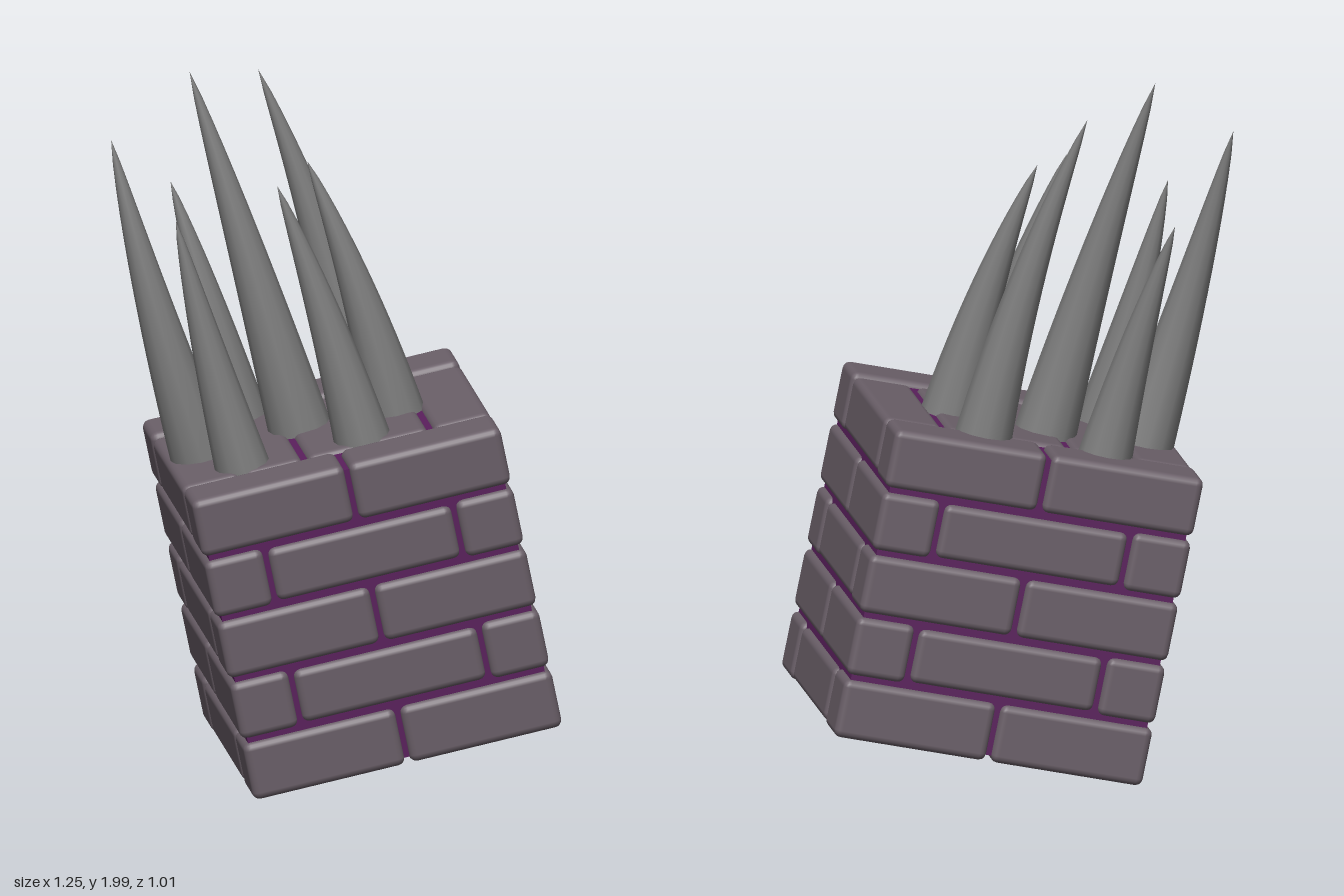
import * as THREE from 'three';
import { RoundedBoxGeometry } from 'three/addons/geometries/RoundedBoxGeometry.js';

const brickMat = new THREE.MeshStandardMaterial({ color: 0x6a5f68 });
const mortarMat = new THREE.MeshStandardMaterial({ color: 0x5a1f5c });
const spikeMat = new THREE.MeshStandardMaterial({ color: 0x808080 });

const SIZE = 0.92;        // edge of the whole block
const UNIT = SIZE / 5;    // brick height and width
const GAP = 0.014;        // joint between bricks

function addBrick(parent, name, w, d, x, z, inset = 0) {
  const geo = new RoundedBoxGeometry(w - GAP, UNIT - GAP - inset, d - GAP, 2, 0.022);
  const brick = new THREE.Mesh(geo, brickMat);
  brick.name = name;
  brick.position.set(x, 0, z);
  parent.add(brick);
}

// One course: two bricks along the front and back, five crosswise between them
function makeCourse() {
  const course = new THREE.Group();
  const edge = (SIZE - UNIT) / 2;
  for (const sz of [-1, 1]) {
    for (const sx of [-1, 1]) {
      addBrick(course, 'outerBrick', SIZE / 2, UNIT, sx * SIZE / 4, sz * edge);
    }
  }
  for (let i = 0; i < 5; i++) {
    addBrick(course, 'innerBrick', UNIT, SIZE - 2 * UNIT, (i - 2) * UNIT, 0, 0.012);
  }
  return course;
}

// Tapered, curved spike swept from base to tip
function makeSpike(base, tip, radius, bulge) {
  const b = new THREE.Vector3(...base), t = new THREE.Vector3(...tip);
  const mid = b.clone().lerp(t, 0.5).add(new THREE.Vector3(...bulge));
  const root = b.clone().add(b.clone().sub(mid).multiplyScalar(0.12));
  const curve = new THREE.QuadraticBezierCurve3(root, mid, t);
  const rings = 14, sides = 12;
  const geo = new THREE.TubeGeometry(curve, rings, radius, sides);
  const pos = geo.attributes.position, p = new THREE.Vector3();
  for (let i = 0; i <= rings; i++) {
    const c = curve.getPointAt(i / rings);
    const scale = Math.pow(1 - i / rings, 0.78);
    for (let j = 0; j <= sides; j++) {
      const k = i * (sides + 1) + j;
      p.fromBufferAttribute(pos, k).sub(c).multiplyScalar(scale).add(c);
      pos.setXYZ(k, p.x, p.y, p.z);
    }
  }
  const spike = new THREE.Mesh(geo, spikeMat);
  spike.name = 'spike';
  return spike;
}

export function createModel() {
  const model = new THREE.Group();
  model.name = 'spikedBrickBlock';

  // Tilted block of alternating courses
  const block = new THREE.Group();
  block.name = 'brickBlock';
  for (let i = 0; i < 5; i++) {
    const course = makeCourse();
    course.name = 'brickCourse';
    course.position.y = (i - 2) * UNIT;
    if (i % 2) course.rotation.y = Math.PI / 2;
    block.add(course);
  }
  const core = SIZE - 0.05;
  const mortar = new THREE.Mesh(new THREE.BoxGeometry(core, core, core), mortarMat);
  mortar.name = 'mortar';
  block.add(mortar);

  const zAxis = new THREE.Vector3(0.09, -0.02, 0.99).normalize();
  const yAxis = zAxis.clone().cross(new THREE.Vector3(0.975, 0.203, -0.08)).normalize();
  const xAxis = yAxis.clone().cross(zAxis);
  block.quaternion.setFromRotationMatrix(new THREE.Matrix4().makeBasis(xAxis, yAxis, zAxis));
  block.position.set(0.055, 0.55, 0);
  model.add(block);

  // Spikes on the top: base, tip, radius, sideways bow
  const spikes = new THREE.Group();
  spikes.name = 'spikes';
  const list = [
    [[-0.39, 0.95, 0.04], [-0.63, 1.83, 0.0], 0.088, [-0.02, 0, 0.05]],
    [[-0.10, 1.0, -0.04], [-0.40, 2.0, -0.10], 0.092, [0.01, 0, 0.04]],
    [[0.10, 1.04, -0.28], [-0.19, 1.95, -0.31], 0.085, [0.04, 0, 0.02]],
    [[0.06, 1.03, 0.20], [-0.17, 1.73, 0.17], 0.082, [0.02, 0, 0.01]],
    [[0.17, 1.05, 0.0], [-0.07, 1.75, -0.03], 0.085, [0.03, 0, 0.02]],
    [[-0.28, 0.95, 0.22], [-0.46, 1.64, 0.20], 0.08, [-0.01, 0, 0.01]],
    [[-0.25, 0.97, -0.25], [-0.44, 1.63, -0.30], 0.08, [0.01, 0, 0.03]],
  ];
  for (const args of list) spikes.add(makeSpike(...args));
  model.add(spikes);
  return model;
}
